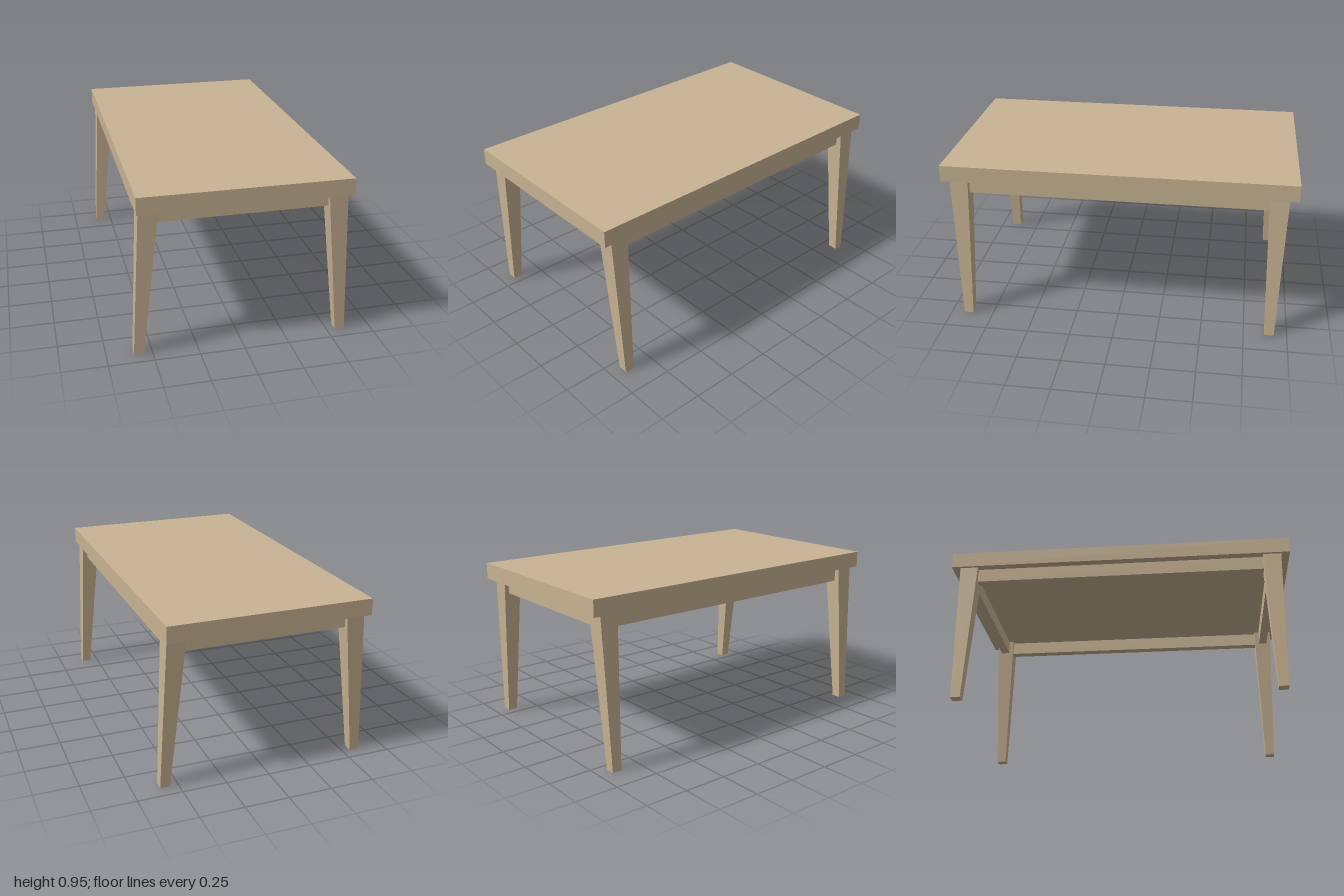
import * as THREE from 'three';

export function createModel() {
  const wood = new THREE.MeshStandardMaterial({ color: 0xc8b393 });
  wood.name = 'paleWood';
  const table = new THREE.Group();
  table.name = 'table';

  const add = (name, geometry, x, y, z) => {
    const mesh = new THREE.Mesh(geometry, wood);
    mesh.name = name;
    mesh.position.set(x, y, z);
    table.add(mesh);
  };

  // Table top
  const legHeight = 0.853;
  const topThickness = 0.094;
  add('tableTop', new THREE.BoxGeometry(1.152, topThickness, 2), 0, legHeight + topThickness / 2, 0);

  // Tapered leg that splays outward in x towards the floor
  const makeLeg = (side, end) => {
    const geometry = new THREE.BoxGeometry(1, legHeight, 1);
    const p = geometry.attributes.position;
    for (let i = 0; i < p.count; i++) {
      const upper = p.getY(i) > 0;
      const size = upper ? 0.105 : 0.055;
      const centreX = side * (upper ? 0.508 : 0.575);
      p.setX(i, centreX + p.getX(i) * size);
      p.setZ(i, end * 0.898 + p.getZ(i) * size);
    }
    geometry.computeVertexNormals();
    return geometry;
  };
  for (const side of [-1, 1]) {
    for (const end of [-1, 1]) {
      const name = (end > 0 ? 'front' : 'back') + (side > 0 ? 'Left' : 'Right') + 'Leg';
      add(name, makeLeg(side, end), 0, legHeight / 2, 0);
    }
  }

  // Rails under the top, centred on the legs
  const railHeight = 0.081;
  const railY = legHeight - railHeight / 2;
  for (const s of [-1, 1]) {
    add(s > 0 ? 'frontRail' : 'backRail', new THREE.BoxGeometry(0.94, railHeight, 0.05), 0, railY, s * 0.898);
    add(s > 0 ? 'leftRail' : 'rightRail', new THREE.BoxGeometry(0.05, railHeight, 1.71), s * 0.506, railY, 0);
  }
  return table;
}
